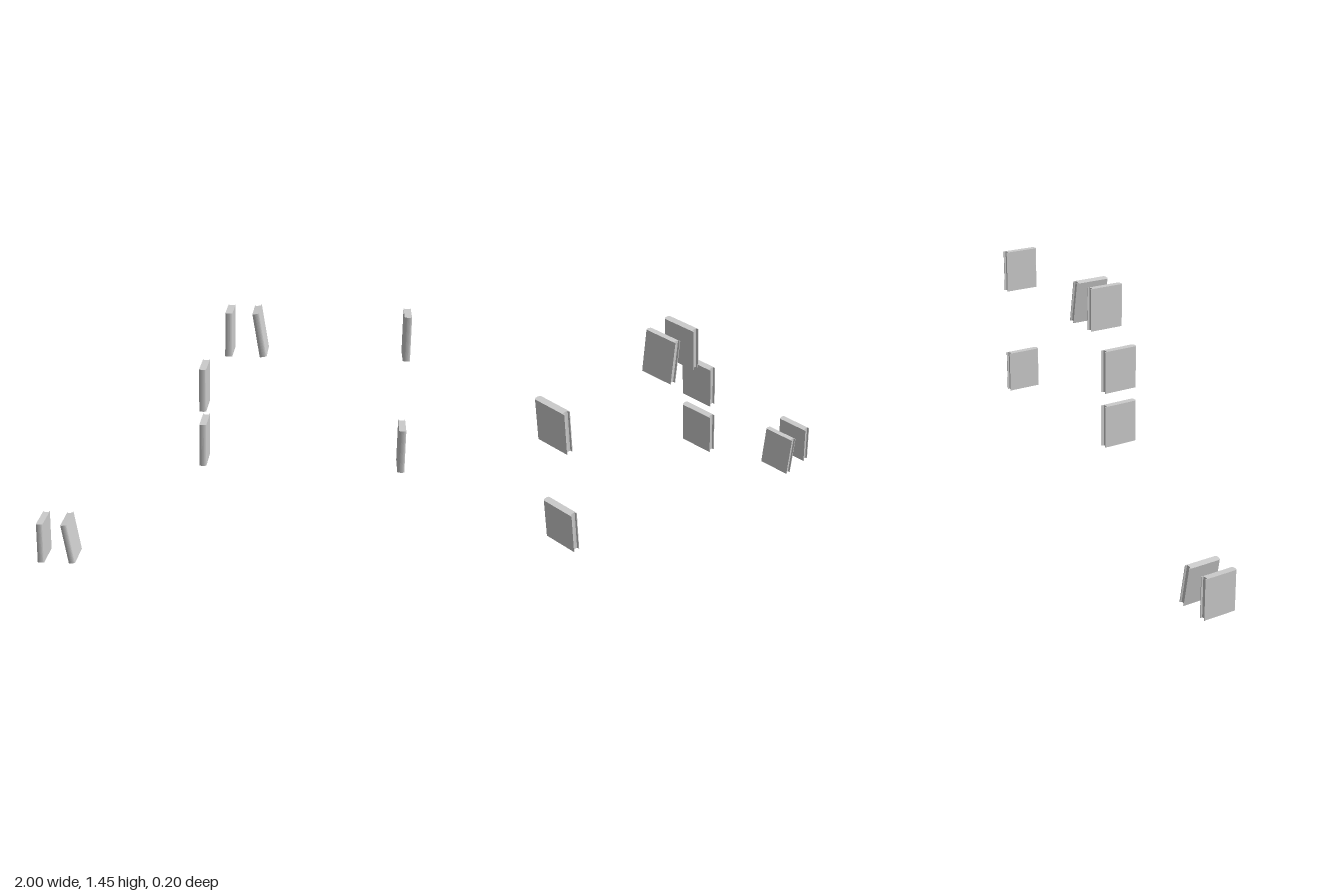
import * as THREE from 'three';

const W = 0.037, H = 0.23, D = 0.197;   // book thickness, height, depth
const COVER = 0.004, RECESS = 0.014;    // cover board thickness, page inset
const ROW = 0.305, TILT = THREE.MathUtils.degToRad(10);

// Plan of a book: rounded spine at the front, hollow page edge at the back
function bookGeometry() {
  const w = W / 2, d = D / 2, p = w - COVER;
  const s = new THREE.Shape();           // shape y becomes -z
  s.moveTo(-w, d);
  s.lineTo(-w, -d + 0.008);
  s.quadraticCurveTo(-w * 0.8, -d, 0, -d);
  s.quadraticCurveTo(w * 0.8, -d, w, -d + 0.008);
  s.lineTo(w, d);
  s.lineTo(p, d);
  s.lineTo(p, d - RECESS + 0.003);
  s.quadraticCurveTo(0, d - RECESS - 0.003, -p, d - RECESS + 0.003);
  s.lineTo(-p, d);
  s.closePath();
  const g = new THREE.ExtrudeGeometry(s, { depth: H, bevelEnabled: false, curveSegments: 5 });
  g.translate(0, 0, -H / 2);
  g.rotateX(-Math.PI / 2);
  return g;
}

export function createModel() {
  const group = new THREE.Group();
  const geometry = bookGeometry();
  const material = new THREE.MeshStandardMaterial({ color: 0xcccccc });

  // [x, row, leaning]
  const books = [
    [-0.981, 0, false], [-0.825, 0, true],
    [-0.07, 2, false], [-0.07, 3, false],
    [0.067, 4, false], [0.226, 4, true],
    [0.981, 2, false], [0.981, 4, false],
  ];
  for (const [x, row, leaning] of books) {
    const book = new THREE.Mesh(geometry, material);
    book.name = leaning ? 'leaningBook' : 'uprightBook';
    const halfHeight = leaning ? (H * Math.cos(TILT) + W * Math.sin(TILT)) / 2 : H / 2;
    book.position.set(x, row * ROW + halfHeight, 0);
    if (leaning) book.rotation.z = TILT;
    group.add(book);
  }
  // Middle shelves start at the second level
  for (const b of group.children) {
    const row = books[group.children.indexOf(b)][1];
    if (row > 0) b.position.y = (row === 2 ? 0.61 : row === 3 ? 0.915 : 1.22) + b.position.y - row * ROW;
  }
  return group;
}
